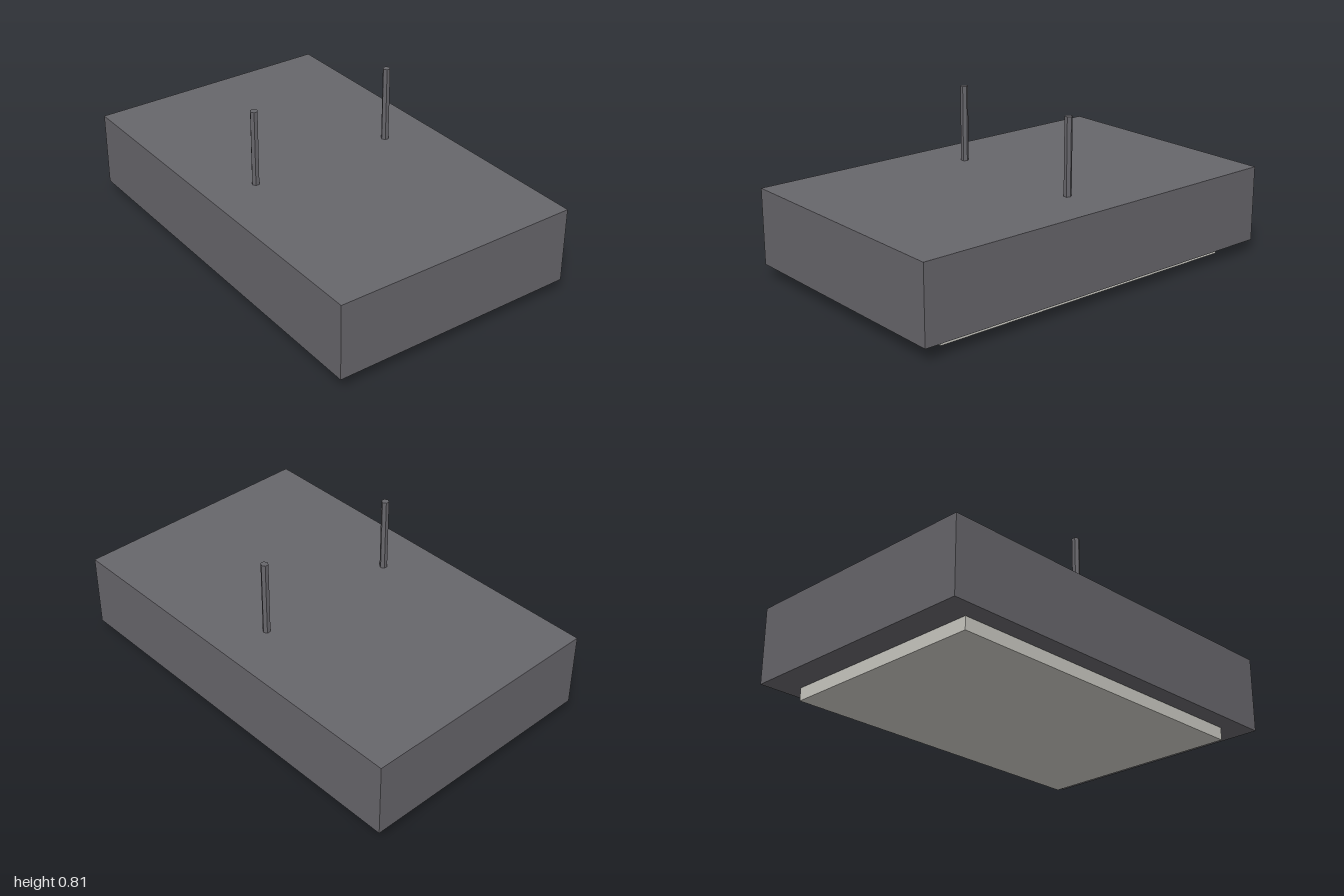
import * as THREE from 'three';

export function createModel() {
  const model = new THREE.Group();
  model.name = 'ceilingLight';

  const housingGrey = new THREE.MeshStandardMaterial({ name: 'housing grey', color: 0x67666b, flatShading: true });
  const panelWhite = new THREE.MeshStandardMaterial({ name: 'panel off-white', color: 0xcac9c2, flatShading: true });

  const add = (name, geometry, material, x, y, z) => {
    const mesh = new THREE.Mesh(geometry, material);
    mesh.name = name;
    mesh.position.set(x, y, z);
    model.add(mesh);
  };

  // Light panel under the box-shaped housing
  add('lightPanel', new THREE.BoxGeometry(1.7, 0.0625, 1.06), panelWhite, 0, 0.03125, 0);
  add('housing', new THREE.BoxGeometry(2, 0.375, 1.25), housingGrey, 0, 0.25, 0);

  // Two six-sided hanging rods, front and back
  const rod = new THREE.CylinderGeometry(0.01875, 0.01875, 0.375, 6);
  add('frontRod', rod, housingGrey, 0, 0.625, 0.375);
  add('backRod', rod, housingGrey, 0, 0.625, -0.375);

  return model;
}
